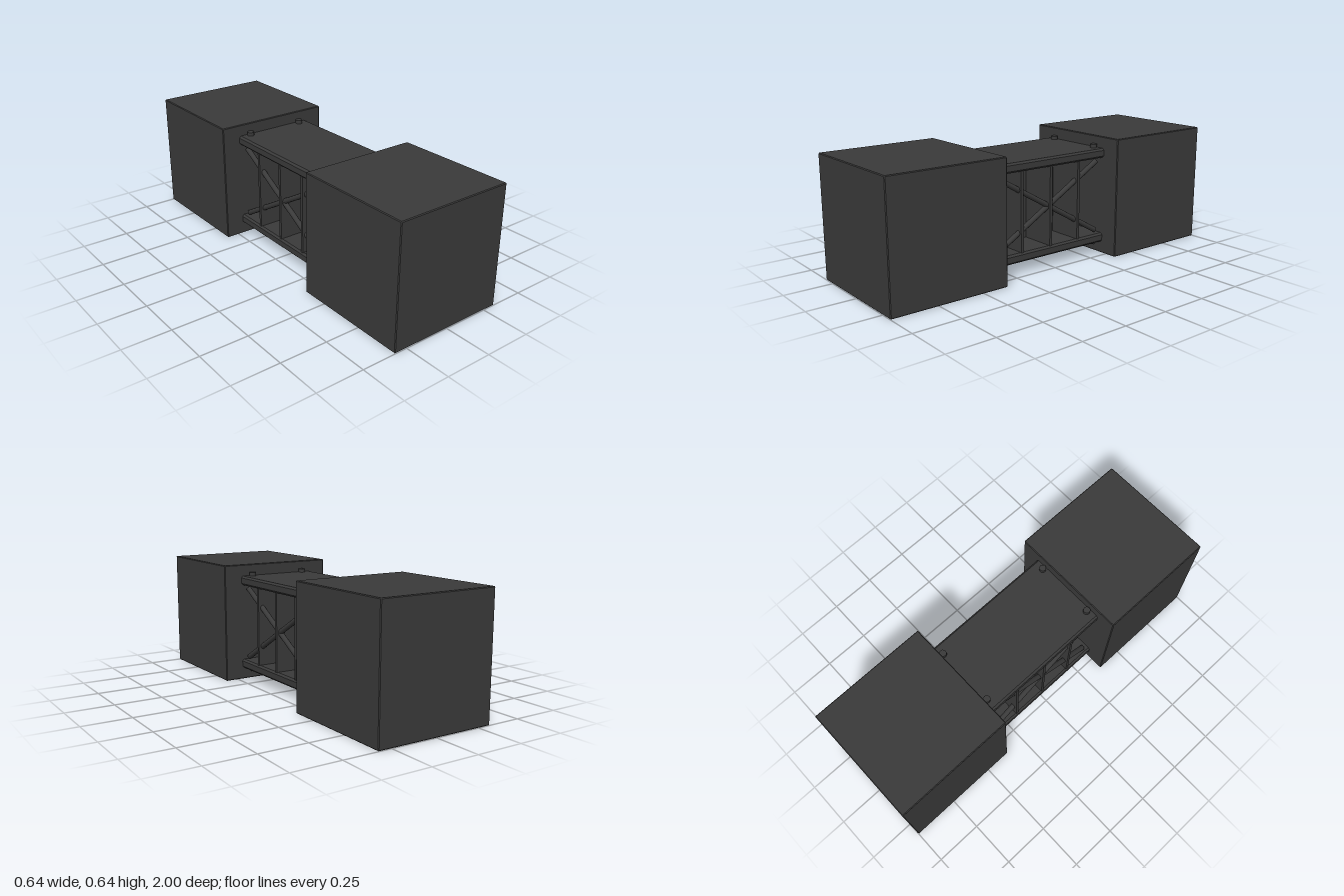
import * as THREE from 'three';

const charcoal = new THREE.MeshStandardMaterial({ color: 0x3a3a3a });
charcoal.name = 'charcoal';

function add(group, name, geometry, x = 0, y = 0, z = 0) {
  const mesh = new THREE.Mesh(geometry, charcoal);
  mesh.name = name;
  mesh.position.set(x, y, z);
  group.add(mesh);
  return mesh;
}

// Box centred on the origin with chamfered edges along z, and on its ends too if asked
function chamferedBox(w, h, d, c, endChamfer) {
  const x = w / 2, y = h / 2;
  const e = endChamfer ? c : 0;
  const s = new THREE.Shape([
    [-x + c, -y], [x - c, -y], [x, -y + c], [x, y - c],
    [x - c, y], [-x + c, y], [-x, y - c], [-x, -y + c],
  ].map(([a, b]) => new THREE.Vector2(a, b)));
  return new THREE.ExtrudeGeometry(s, {
    depth: d - 2 * e, bevelEnabled: endChamfer,
    bevelSize: e, bevelOffset: -e, bevelThickness: e, bevelSegments: 1,
  }).translate(0, 0, -d / 2 + e);
}

// Round brace between two points
function brace(group, a, b) {
  const dir = b.clone().sub(a);
  const mesh = add(group, 'diagonalBrace', new THREE.CylinderGeometry(0.014, 0.014, dir.length(), 12));
  mesh.position.copy(a).add(b).multiplyScalar(0.5);
  mesh.quaternion.setFromUnitVectors(new THREE.Vector3(0, 1, 0), dir.normalize());
}

export function createModel() {
  const model = new THREE.Group();
  model.name = 'weightedBlockBar';
  const mid = 0.32;

  // End blocks
  const block = chamferedBox(0.64, 0.64, 0.64, 0.004, true);
  for (const s of [1, -1]) add(model, s > 0 ? 'frontBlock' : 'backBlock', block, 0, mid, s * 0.68);

  // Upper and lower plates with bolts
  const plate = chamferedBox(0.44, 0.05, 0.72, 0.01, false);
  const bolt = new THREE.CylinderGeometry(0.018, 0.018, 0.03, 12);
  for (const v of [1, -1]) {
    add(model, v > 0 ? 'upperPlate' : 'lowerPlate', plate, 0, mid + v * 0.233, 0);
    for (const x of [-0.16, 0.16]) {
      for (const z of [-0.34, 0.34]) add(model, 'bolt', bolt, x, mid + v * 0.262, z);
    }
  }

  // Central web and cross ribs
  add(model, 'centralWeb', new THREE.BoxGeometry(0.04, 0.42, 0.72), 0, mid, 0);
  const rib = new THREE.BoxGeometry(0.43, 0.42, 0.016);
  for (const z of [-0.187, 0, 0.187]) add(model, 'rib', rib, 0, mid, z);

  // Crossed diagonal braces on each side
  for (const x of [-0.19, 0.19]) {
    for (const v of [1, -1]) {
      brace(model,
        new THREE.Vector3(x, mid - v * 0.19, 0.33),
        new THREE.Vector3(x, mid + v * 0.19, -0.33));
    }
  }
  return model;
}
